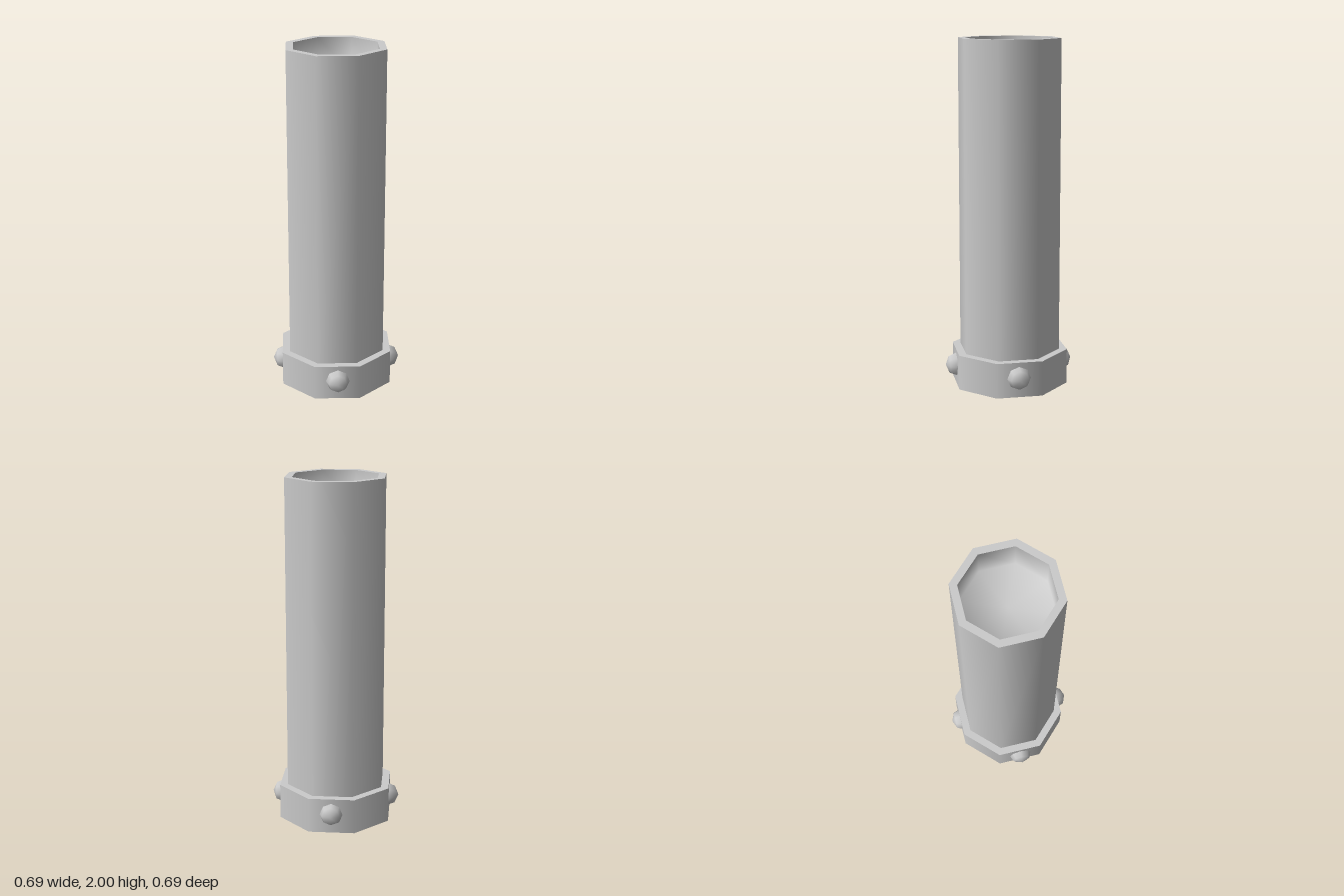
import * as THREE from 'three';

const SIDES = 8;
const material = new THREE.MeshStandardMaterial({ color: 0xcccccc });

function part(name, geometry, parent) {
  const mesh = new THREE.Mesh(geometry, material);
  mesh.name = name;
  parent.add(mesh);
  return mesh;
}

export function createModel() {
  const group = new THREE.Group();
  group.name = 'pipe';
  const body = new THREE.Group();
  body.name = 'pipeBody';
  body.position.z = -0.004;
  group.add(body);

  // Base collar, eight-sided with a flat top and bottom
  const collarHeight = 0.204;
  part('baseCollar', new THREE.CylinderGeometry(0.343, 0.343, collarHeight, SIDES), body)
    .position.y = collarHeight / 2;

  // Outer wall of the pipe
  const wallHeight = 2 - collarHeight;
  part('pipeWall', new THREE.CylinderGeometry(0.296, 0.296, wallHeight, SIDES, 1, true), body)
    .position.y = collarHeight + wallHeight / 2;

  // Flat rim
  const rim = part('rim', new THREE.RingGeometry(0.253, 0.296, SIDES), body);
  rim.rotation.x = -Math.PI / 2;
  rim.position.y = 2;

  // Recessed mouth: inner wall and floor, smoothly shaded together
  const floorY = 1.8;
  const mouthProfile = [[0.253, 2], [0.253, floorY], [0, floorY]]
    .map(([r, y]) => new THREE.Vector2(r, y));
  part('mouth', new THREE.LatheGeometry(mouthProfile, SIDES), body);

  // Four rivets on alternate collar faces, poles pointing outwards
  for (let i = 0; i < 4; i++) {
    const angle = Math.PI / 8 + i * Math.PI / 2;
    const geometry = new THREE.SphereGeometry(0.074, 8, 4);
    geometry.rotateZ(-Math.PI / 2);
    const rivet = part('rivet', geometry, group);
    rivet.position.set(0.3 * Math.cos(angle), 0.112, 0.3 * Math.sin(angle));
    rivet.rotation.y = -angle;
  }

  return group;
}
